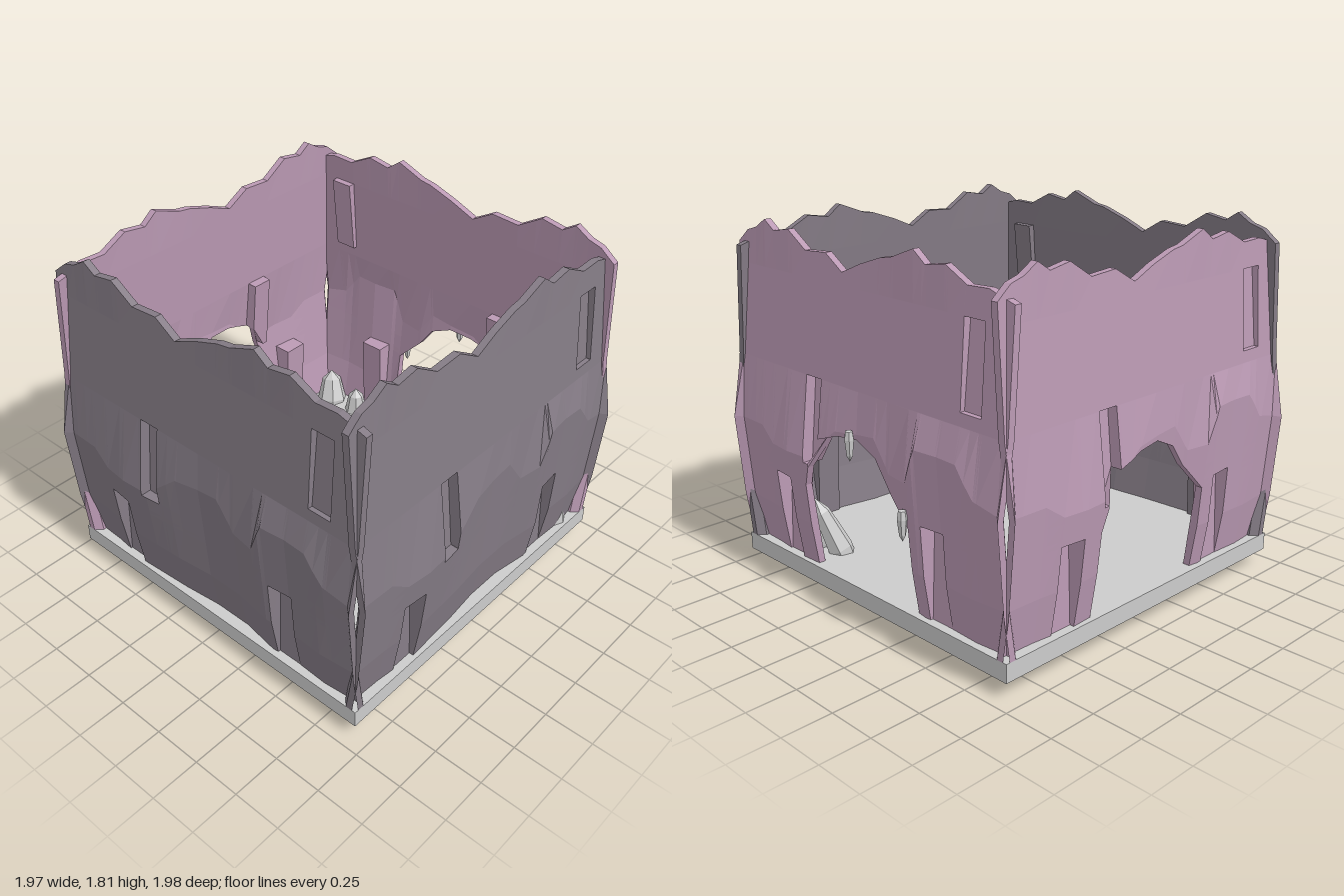
import * as THREE from 'three';

const mat = (color) => new THREE.MeshStandardMaterial({ color, flatShading: true, side: THREE.DoubleSide });
const grey = mat(0xcccccc), dark = mat(0x857c86), mauve = mat(0xbb9ab4);

// piecewise linear lookup in [x, value] knots
function lerpKnots(knots, x) {
  if (x <= knots[0][0]) return knots[0][1];
  for (let i = 1; i < knots.length; i++) {
    const [x0, v0] = knots[i - 1], [x1, v1] = knots[i];
    if (x <= x1) return v0 + (v1 - v0) * (x - x0) / (x1 - x0);
  }
  return knots[knots.length - 1][1];
}

const FLOOR = 0.18, END = 0.935, THICK = 0.035, EPS = 0.0008;
// jagged rim, height of the overhanging ridge, how far the ridge sticks out, and the cave mouth
const RIM = [[-0.935, 1.69], [-0.86, 1.75], [-0.79, 1.77], [-0.715, 1.815], [-0.645, 1.77], [-0.53, 1.79], [-0.4, 1.71],
  [-0.25, 1.72], [-0.13, 1.65], [0, 1.705], [0.135, 1.75], [0.2, 1.76], [0.345, 1.815], [0.42, 1.76], [0.54, 1.78],
  [0.67, 1.715], [0.79, 1.72], [0.935, 1.68]];
const RIDGE = [[-0.935, 0.82], [-0.73, 0.82], [-0.63, 0.75], [-0.35, 0.75], [-0.14, 0.93], [0.12, 0.96], [0.22, 0.82],
  [0.35, 0.82], [0.42, 0.99], [0.67, 0.99], [0.77, 0.86], [0.935, 0.82]];
const BULGE = [[-0.935, 0.985], [-0.9, 0.952], [-0.73, 0.958], [-0.5, 0.982], [-0.2, 0.965], [0, 0.945], [0.2, 0.945],
  [0.4, 0.975], [0.55, 0.96], [0.72, 0.968], [0.9, 0.952], [0.935, 0.985]];
const MOUTH = [[-0.385, 0.6], [-0.3, 0.85], [-0.1, 0.92], [0.08, 0.92], [0.2, 0.75], [0.345, 0.6]];

// niches pressed into the wall: u range, y range, depth position at bottom and top
const NICHES = [
  { u: [-0.63, -0.5], y: [FLOOR - 0.01, 0.61], d: [0.89, 0.872] },
  { u: [0.43, 0.56], y: [FLOOR - 0.01, 0.64], d: [0.89, 0.87] },
  { u: [-0.38, -0.27], y: [0.72, 1.14], d: [0.92, 0.876] },
  { u: [0.66, 0.78], y: [1.2, 1.59], d: [0.9, 0.86] },
];

function wallDepth(u, y) {
  const b = lerpKnots(BULGE, u);
  let d = lerpKnots([[FLOOR, b - 0.07], [0.4, b - 0.035], [lerpKnots(RIDGE, u), b], [1.14, 0.926], [1.72, 0.885]], y);
  for (const n of NICHES) {
    if (u > n.u[0] && u < n.u[1] && y > n.y[0] && y < n.y[1]) {
      d = Math.min(d, lerpKnots([[n.y[0], n.d[0]], [n.y[1], n.d[1]]], y));
    }
  }
  return d;
}

// a break gets a line on either side so that steps stay sharp
const pairs = (breaks) => breaks.flatMap((b) => [b - EPS, b + EPS]);

// heights of the grid rows in one column, with one row running along the ridge
function columnHeights(u) {
  const ridge = lerpKnots(RIDGE, u);
  return [FLOOR, 0.4, ...pairs([0.61, 0.64, 0.72]), ridge, ...pairs([1.14, 1.2, 1.59]), lerpKnots(RIM, u)];
}

// thick rock wall facing +z, with or without a cave mouth
function wallGeometry(hasMouth) {
  const us = [...new Set([...RIM, ...RIDGE, ...BULGE].map((k) => k[0])),
    ...pairs([...NICHES.flatMap((n) => n.u), -0.385, 0.345])].sort((a, b) => a - b);
  const rows = columnHeights(0).length, loop = rows * 2, pos = [], idx = [];
  for (const u of us) {
    const inMouth = hasMouth && u > -0.385 && u < 0.345;
    const low = inMouth ? lerpKnots(MOUTH, u) : FLOOR;
    const outer = columnHeights(u).map((h) => {
      const y = Math.max(h, low);
      return [u, y, wallDepth(u, y)];
    });
    const inner = outer.map(([x, y, z]) => [x, y, z - THICK]).reverse();
    pos.push(...outer.flat(), ...inner.flat());
  }
  for (let i = 0; i < us.length - 1; i++) {
    for (let j = 0; j < loop; j++) {
      const a = i * loop + j, b = i * loop + (j + 1) % loop;
      idx.push(a, a + loop, b + loop, a, b + loop, b);
    }
  }
  // close both ends
  const last = (us.length - 1) * loop;
  for (let j = 0; j < rows - 1; j++) {
    const k = loop - 1 - j;
    idx.push(j, j + 1, k - 1, j, k - 1, k);
    idx.push(last + j, last + k, last + k - 1, last + j, last + k - 1, last + j + 1);
  }
  const geo = new THREE.BufferGeometry();
  geo.setAttribute('position', new THREE.Float32BufferAttribute(pos, 3));
  geo.setIndex(idx);
  geo.computeVertexNormals();
  return geo;
}

// faceted boulder or spike, standing on its origin
function rock(name, [x, y, z], r, h, tilt = [0, 0], sides = 7) {
  const profile = [[0, 0], [r * 0.75, 0.04 * h], [r, 0.3 * h], [r * 0.65, 0.8 * h], [0, h]];
  const geo = new THREE.LatheGeometry(profile.map((p) => new THREE.Vector2(...p)), sides);
  const mesh = new THREE.Mesh(geo, grey);
  mesh.name = name;
  mesh.position.set(x, y, z);
  mesh.rotation.set(tilt[0], x * 5, tilt[1], 'XZY');
  return mesh;
}

export function createModel() {
  const model = new THREE.Group();
  model.name = 'caveRoom';

  const floor = new THREE.Mesh(new THREE.BoxGeometry(2 * END, 0.09, 2 * END), grey);
  floor.name = 'floor';
  floor.position.y = 0.135;
  model.add(floor);

  // two closed walls, two with a cave mouth
  const closed = wallGeometry(false), open = wallGeometry(true);
  ['frontWall', 'leftWall', 'backWall', 'rightWall'].forEach((name, i) => {
    const wall = new THREE.Mesh(i < 2 ? closed : open, i < 2 ? dark : mauve);
    wall.name = name;
    wall.rotation.y = i * Math.PI / 2;
    model.add(wall);
  });

  // boulders in the corners
  const boulders = [
    [[0.61, 0.01, 0.69], 0.06, 0.32, [0.25, 0.1]],
    [[0.72, 0.1, 0.7], 0.085, 0.27],
    [[0.77, 0.1, 0.77], 0.085, 0.24],
    [[0.58, 0.2, 0.66], 0.05, 0.24, [-0.6, -1.0]],
    [[-0.74, 0.11, -0.77], 0.085, 0.25, [-0.2, 0.2]],
    [[-0.57, 0.11, -0.79], 0.065, 0.22],
    [[0.86, 0.1, -0.75], 0.06, 0.25],
  ];
  boulders.forEach((b) => model.add(rock('boulder', ...b)));

  // leaning shards beside the back opening
  model.add(rock('shard', [0.39, 0.08, -0.71], 0.065, 0.42, [-0.3, -0.3], 6));
  model.add(rock('shard', [0.55, 0.1, -0.74], 0.04, 0.36, [-0.25, 0.1], 6));

  // loose pebble
  const pebble = new THREE.Mesh(new THREE.DodecahedronGeometry(0.04), grey);
  pebble.name = 'pebble';
  pebble.position.set(0.43, 0.195, 0.24);
  model.add(pebble);

  // small spikes hanging around the back opening
  [[0.02, 0.97, -0.97], [-0.34, 0.7, -0.975]].forEach((p) => {
    model.add(rock('hangingSpike', p, 0.024, 0.15, [Math.PI, 0], 6));
  });
  return model;
}
